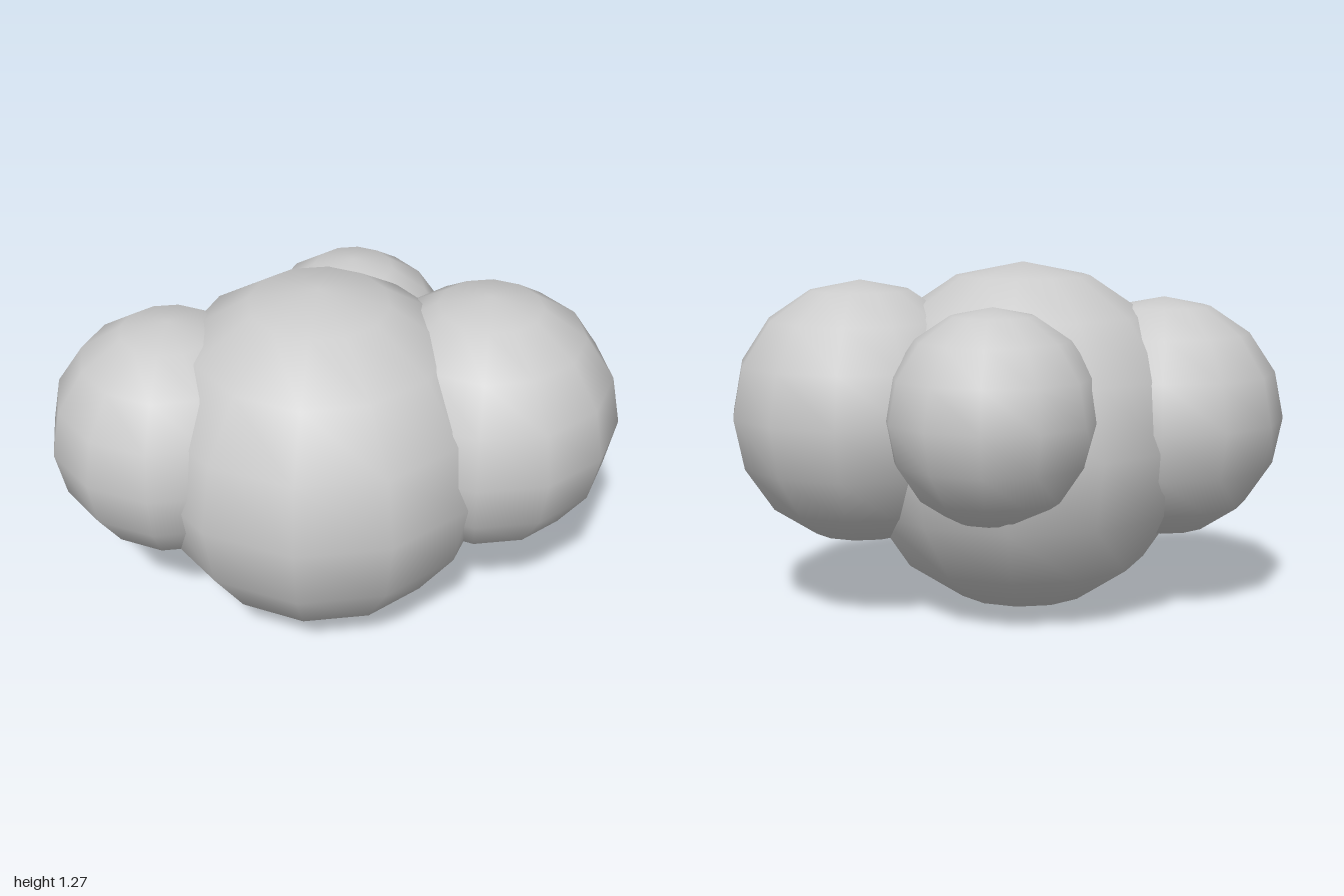
import * as THREE from 'three';

export function createModel() {
  const group = new THREE.Group();
  const material = new THREE.MeshStandardMaterial({ color: 0xcccccc });

  // Each puff: name, radius, centre
  const puffs = [
    ['mainPuff', 0.635, [-0.05, 0.635, 0.095]],
    ['leftPuff', 0.475, [0.523, 0.735, -0.035]],
    ['rightPuff', 0.44, [-0.56, 0.703, 0.157]],
    ['backPuff', 0.375, [0.013, 0.768, -0.355]],
  ];

  // Low-poly spheres with smooth normals, overlapping into one cluster
  for (const [name, radius, centre] of puffs) {
    const puff = new THREE.Mesh(new THREE.SphereGeometry(radius, 12, 8), material);
    puff.name = name;
    puff.position.set(...centre);
    group.add(puff);
  }
  return group;
}
